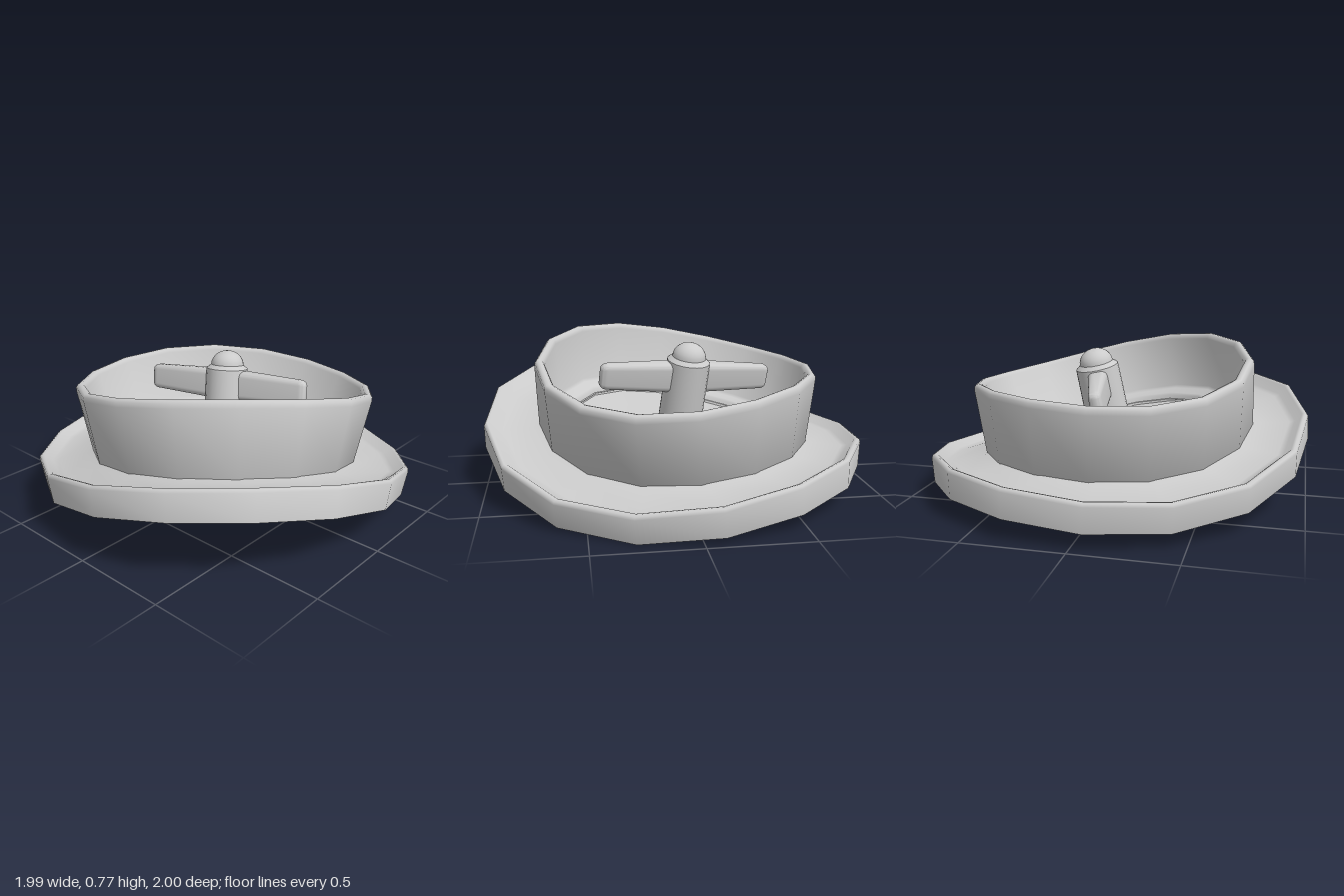
import * as THREE from 'three';
import { toCreasedNormals } from 'three/addons/utils/BufferGeometryUtils.js';
import { RoundedBoxGeometry } from 'three/addons/geometries/RoundedBoxGeometry.js';

const mat = new THREE.MeshStandardMaterial({ color: 0xcccccc, side: THREE.DoubleSide });

function part(name, geometry) {
  const mesh = new THREE.Mesh(geometry, mat);
  mesh.name = name;
  return mesh;
}

function lathe(points, sides, phase = 0) {
  return new THREE.LatheGeometry(points.map(p => new THREE.Vector2(...p)), sides, phase);
}

// Bend onto a tilted saddle: heights are measured along the saddle's normal
function warp(geometry) {
  const p = geometry.attributes.position;
  const n = new THREE.Vector3();
  for (let i = 0; i < p.count; i++) {
    const x = p.getX(i), y = p.getY(i), z = p.getZ(i);
    const lift = 0.297 + 0.07 * x + 0.12 * z + 0.18 * x * z + 0.02 * x * x;
    n.set(-0.07 - 0.18 * z - 0.04 * x, 1, -0.12 - 0.18 * x).normalize();
    p.setXYZ(i, x + n.x * y, lift + n.y * y, z + n.z * y - 0.006);
  }
  return toCreasedNormals(geometry, 0.95);
}

// Blade pointing along +x, narrowing towards its tip
function bladeGeometry() {
  const length = 0.43;
  const g = new RoundedBoxGeometry(length, 0.165, 0.11, 4, 0.035);
  const p = g.attributes.position;
  for (let i = 0; i < p.count; i++) {
    const t = p.getX(i) / length + 0.5;
    p.setXYZ(i, p.getX(i) + length / 2 + 0.04, p.getY(i) * (1 - 0.2 * t), p.getZ(i) * (1 - 0.45 * t));
  }
  return toCreasedNormals(g, 0.8);
}

export function createModel() {
  const model = new THREE.Group();
  model.name = 'dishWithPropeller';

  // Brim with a thin downturned skirt and a rounded lip
  model.add(part('brim', warp(lathe([
    [0.66, -0.04], [0.72, -0.045], [0.92, -0.065], [0.96, -0.045], [0.978, -0.15], [0.988, -0.15],
    [0.998, -0.02], [0.993, -0.006], [0.982, 0], [0.968, -0.004], [0.93, -0.038], [0.9, -0.044],
    [0.75, -0.03], [0.7, -0.015],
  ], 16, 0.08))));

  // Flared bowl wall with rounded rim, and a ring step hollow from below
  model.add(part('bowlWall', warp(lathe([
    [0.54, 0.0], [0.645, 0.005], [0.665, -0.04], [0.7, -0.04], [0.715, -0.02],
    [0.755, 0.31], [0.754, 0.333], [0.745, 0.345], [0.73, 0.349], [0.715, 0.343], [0.705, 0.325],
    [0.65, 0.05], [0.635, 0.035], [0.57, 0.03], [0.555, 0.02], [0.54, -0.03],
  ], 16, 0.04))));

  // Floor disc
  model.add(part('floor', warp(lathe([
    [0, -0.055], [0.28, -0.055], [0.55, -0.055], [0.55, -0.015], [0.28, -0.015], [0, -0.015],
  ], 16, 0.04))));

  // Leaning post through the floor, ending in a domed cap
  const propeller = new THREE.Group();
  propeller.name = 'propeller';
  propeller.position.set(-0.01, 0.14, -0.015);
  propeller.quaternion.setFromUnitVectors(
    new THREE.Vector3(0, 1, 0), new THREE.Vector3(-0.11, 1, -0.18).normalize());

  const postProfile = [[0, 0], [0.12, 0], [0.113, 0.52], [0.112, 0.535], [0.1, 0.545]];
  for (let i = 0; i <= 8; i++) {
    const a = (i / 8) * Math.PI / 2;
    postProfile.push([0.088 * Math.cos(a), 0.555 + 0.076 * Math.sin(a)]);
  }
  propeller.add(part('post', toCreasedNormals(lathe(postProfile, 24), 0.6)));

  // Two opposite blades
  for (const [name, turn] of [['leftBlade', 0], ['rightBlade', Math.PI]]) {
    const blade = part(name, bladeGeometry());
    blade.position.y = 0.448;
    blade.rotation.y = 0.21 + turn;
    propeller.add(blade);
  }
  model.add(propeller);
  return model;
}
